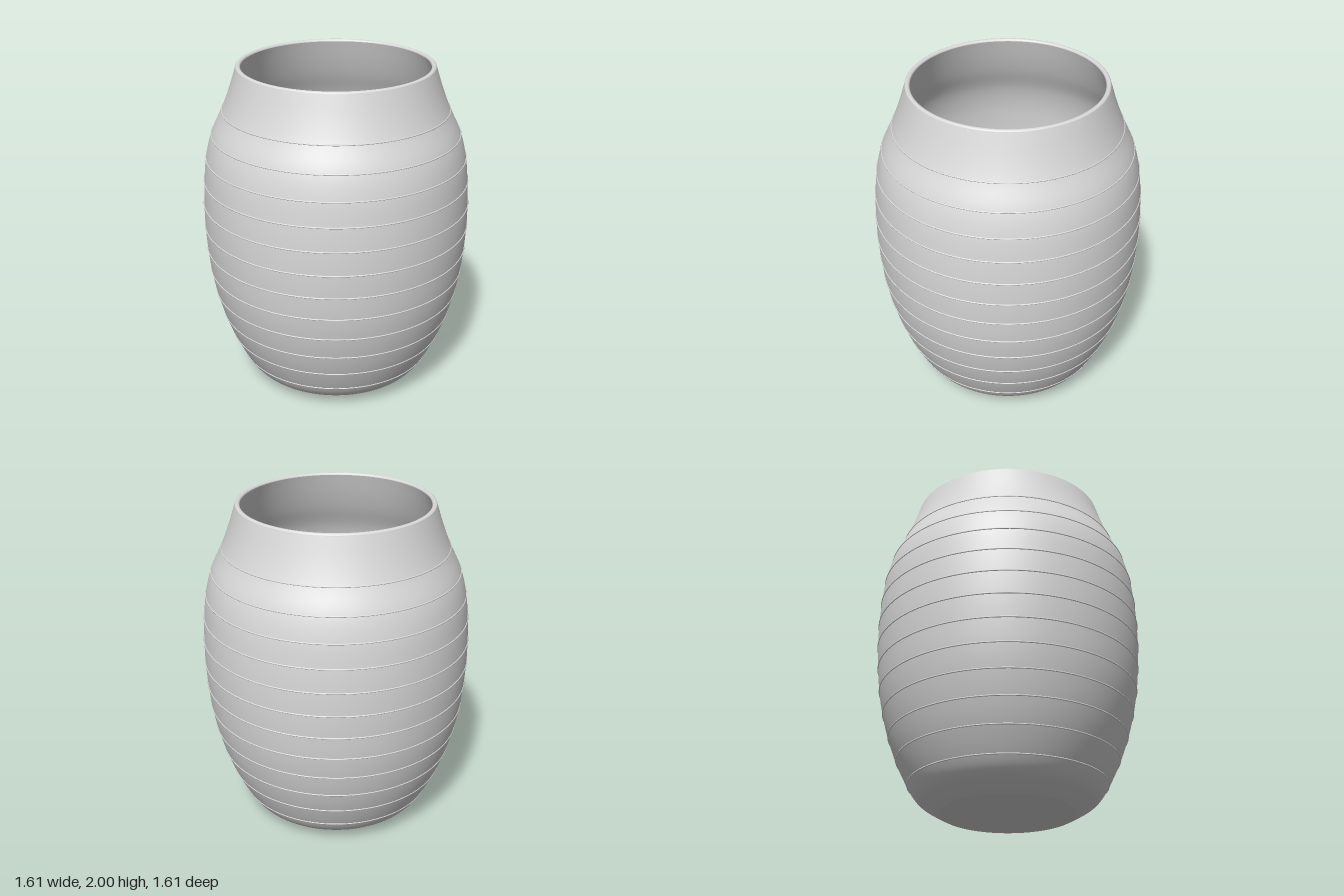
import * as THREE from 'three';

const SEGMENTS = 128;
const WALL = 0.03;

// Outer silhouette as [radius, height]
const PROFILE = [
  [0.4, 0], [0.465, 0.035], [0.535, 0.085], [0.59, 0.165], [0.66, 0.31], [0.711, 0.45],
  [0.75, 0.595], [0.776, 0.735], [0.791, 0.88], [0.799, 1.02], [0.799, 1.165],
  [0.791, 1.31], [0.774, 1.455], [0.737, 1.595], [0.67, 1.74], [0.624, 1.86], [0.583, 1.988],
];

export function createModel() {
  const clay = new THREE.MeshStandardMaterial({ color: 0xd9d9d9 });
  clay.name = 'light grey';

  const group = new THREE.Group();
  group.name = 'vase';
  const add = (name, geometry) => {
    const mesh = new THREE.Mesh(geometry, clay);
    mesh.name = name;
    group.add(mesh);
    return mesh;
  };
  const lathe = (name, points) => add(name, new THREE.LatheGeometry(points, SEGMENTS));

  // Outer wall
  const curve = new THREE.SplineCurve(PROFILE.map(([r, y]) => new THREE.Vector2(r, y)));
  const outer = curve.getPoints(96);
  lathe('outerWall', outer);

  // Rounded lip
  const lip = [];
  for (let i = 0; i <= 10; i++) {
    const a = (i / 10) * Math.PI;
    lip.push(new THREE.Vector2(0.568 + 0.015 * Math.cos(a), 1.988 + 0.012 * Math.sin(a)));
  }
  lathe('lip', lip);

  // Inner wall runs downwards so that it faces inwards; it rises off the base towards the bottom
  const inner = outer
    .map((p) => new THREE.Vector2(p.x - WALL, p.y + WALL * (1 - p.y / 1.988)))
    .reverse();
  lathe('innerWall', inner);

  // Floor, set slightly below the foot of the inner wall
  const foot = inner[inner.length - 1];
  const floorY = foot.y - 0.015;
  lathe('floorEdge', [foot, new THREE.Vector2(foot.x, floorY)]);
  const floor = add('floor', new THREE.CircleGeometry(foot.x, SEGMENTS));
  floor.rotation.x = -Math.PI / 2;
  floor.position.y = floorY;

  // Underside
  const base = add('base', new THREE.CircleGeometry(0.4, SEGMENTS));
  base.rotation.x = Math.PI / 2;

  // Evenly spaced thin ridges around the body
  const radiusAt = (y) => {
    const i = outer.findIndex((p) => p.y >= y);
    const a = outer[i - 1], b = outer[i];
    return a.x + (b.x - a.x) * (y - a.y) / (b.y - a.y);
  };
  for (let i = 0; i < 12; i++) {
    const y = 0.163 + i * 0.143;
    const ring = add('ridge' + (i + 1), new THREE.TorusGeometry(radiusAt(y), 0.0045, 8, SEGMENTS));
    ring.rotation.x = Math.PI / 2;
    ring.position.y = y;
  }
  return group;
}
